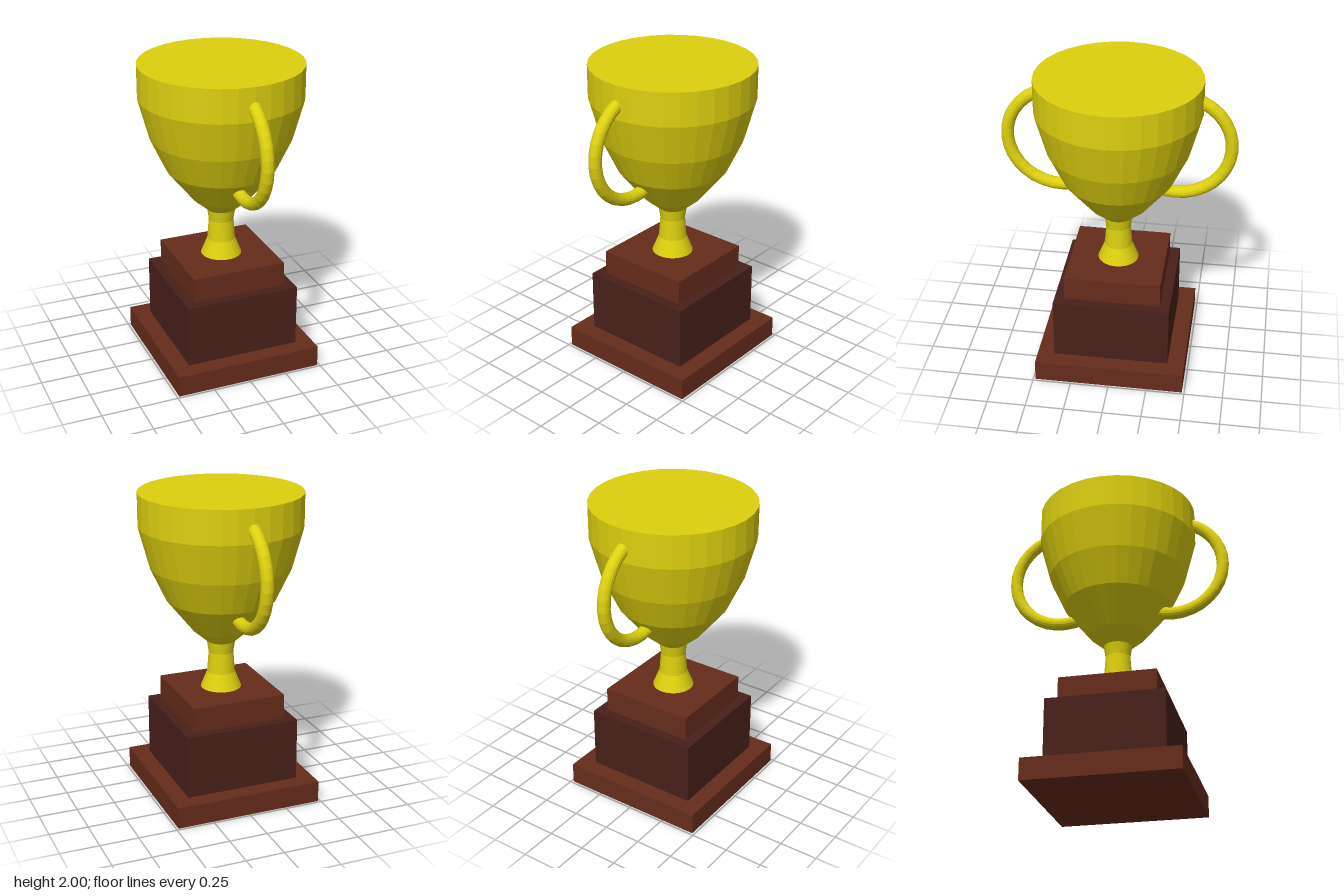
import * as THREE from 'three';

export function createModel() {
  const model = new THREE.Group();
  model.name = 'trophy';
  const material = (color) => new THREE.MeshStandardMaterial({ color, flatShading: true });
  const gold = material(0xddd00f);
  const wood = material(0x662c1c);
  const darkWood = material(0x48201a);

  const add = (name, geometry, mat) => {
    const mesh = new THREE.Mesh(geometry, mat);
    mesh.name = name;
    model.add(mesh);
    return mesh;
  };

  // Stepped square pedestal: name, width, bottom, top, material
  for (const [name, width, y0, y1, mat] of [
    ['baseSlab', 0.97, 0, 0.14, wood],
    ['baseBlock', 0.75, 0.14, 0.55, darkWood],
    ['basePlate', 0.62, 0.55, 0.71, wood],
  ]) {
    add(name, new THREE.BoxGeometry(width, y1 - y0, width), mat).position.y = (y0 + y1) / 2;
  }

  // Turned stem and bowl, each with a faceted profile (radius, height)
  const turned = (points) =>
    new THREE.LatheGeometry(points.map(([r, y]) => new THREE.Vector2(r, y)), 32);
  add('stem', turned([[0, 0.71], [0.132, 0.71], [0.09, 0.815], [0.08, 0.95], [0.092, 1.025]]), gold);
  add('bowl', turned([
    [0.092, 1.025], [0.185, 1.105], [0.35, 1.31], [0.45, 1.525],
    [0.52, 1.785], [0.52, 2], [0, 2],
  ]), gold);

  // Curved handles at front and back, their ends sunk into the bowl
  for (const side of [1, -1]) {
    const arc = new THREE.TorusGeometry(0.335, 0.04, 16, 20, Math.PI * 1.25);
    arc.rotateZ(-Math.PI * 0.7);
    arc.rotateY(-side * Math.PI / 2);
    const handle = add(side > 0 ? 'frontHandle' : 'backHandle', arc, gold);
    handle.position.set(0, 1.565, side * 0.367);
  }

  return model;
}
